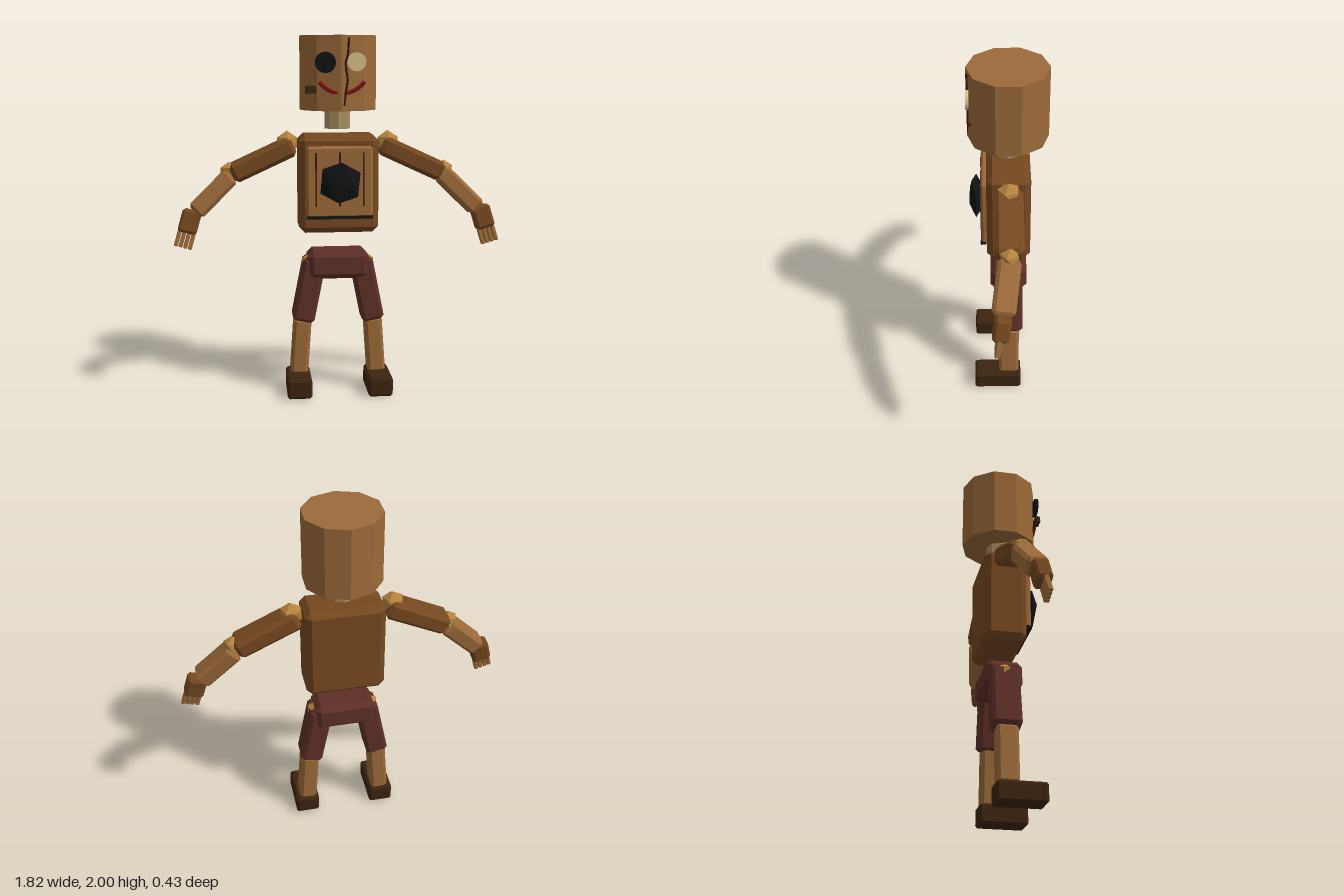
import * as THREE from 'three';
import { ConvexGeometry } from 'three/addons/geometries/ConvexGeometry.js';

const mat = (name, color) => {
  const m = new THREE.MeshStandardMaterial({ color, flatShading: true });
  m.name = name;
  return m;
};
const V = (x, y, z) => new THREE.Vector3(x, y, z);

// Box with every edge and corner cut at 45 degrees
function chamferBox(w, h, d, c) {
  const pts = [], a = w / 2, b = h / 2, e = d / 2;
  for (const x of [-1, 1]) for (const y of [-1, 1]) for (const z of [-1, 1]) {
    pts.push(V(x * a, y * (b - c), z * (e - c)));
    pts.push(V(x * (a - c), y * b, z * (e - c)));
    pts.push(V(x * (a - c), y * (b - c), z * e));
  }
  return new ConvexGeometry(pts);
}

export function createModel() {
  const wood = mat('light wood', 0x9c6a3a);
  const darkWood = mat('dark wood', 0x754820);
  const trousers = mat('maroon', 0x5e2f28);
  const shoe = mat('dark brown', 0x3c2410);
  const brass = mat('brass', 0xb5843c);
  const tan = mat('tan', 0xa89060);
  const black = mat('black', 0x111213);
  const cream = mat('cream', 0xd8c08c);
  const red = mat('red', 0x7d1216);
  const crackRed = mat('dark red', 0x40140e);

  const model = new THREE.Group();
  model.name = 'woodenPuppet';

  const add = (name, geo, m, x = 0, y = 0, z = 0, parent = model) => {
    const mesh = new THREE.Mesh(geo, m);
    mesh.name = name;
    mesh.position.set(x, y, z);
    parent.add(mesh);
    return mesh;
  };

  // Chamfered limb running from one point to another
  const limb = (name, from, to, w, d, c, m, parent) => {
    const dir = to.clone().sub(from);
    const mid = from.clone().add(to).multiplyScalar(0.5);
    const mesh = add(name, chamferBox(w, dir.length(), d, c), m, mid.x, mid.y, mid.z, parent);
    mesh.quaternion.setFromUnitVectors(V(0, -1, 0), dir.normalize());
    return mesh;
  };

  // Faceted ball joint with a point at the top
  const joint = (name, r, x, y, z, parent) => {
    const geo = new THREE.IcosahedronGeometry(r, 0);
    geo.rotateX(-Math.atan((1 + Math.sqrt(5)) / 2));
    return add(name, geo, brass, x, y, z, parent);
  };

  // Head and neck
  add('head', new THREE.CylinderGeometry(0.215, 0.215, 0.4, 10), wood, 0, 1.8, 0);
  add('neck', new THREE.CylinderGeometry(0.07, 0.07, 0.11, 8), tan, 0, 1.55, 0);

  // Face
  const eye = r => new THREE.CylinderGeometry(r, r, 0.016, 16).rotateX(Math.PI / 2);
  add('rightEye', eye(0.056), black, -0.083, 1.857, 0.206);
  add('leftEye', eye(0.05), cream, 0.083, 1.86, 0.208);
  const half = 0.93;
  add('mouth', new THREE.TorusGeometry(0.15, 0.011, 6, 12, half * 2)
    .rotateZ(-Math.PI / 2 - half), red, 0.005, 1.845, 0.2);
  add('cheekPeg', chamferBox(0.06, 0.042, 0.03, 0.005), shoe, -0.16, 1.715, 0.195);
  const crackPath = new THREE.CurvePath();
  const crack = [[0.042, 1.985], [0.037, 1.9], [0.022, 1.85], [0.036, 1.77], [0.016, 1.63]]
    .map(([x, y]) => V(x, y, 0.208));
  for (let i = 1; i < crack.length; i++) crackPath.add(new THREE.LineCurve3(crack[i - 1], crack[i]));
  add('faceCrack', new THREE.TubeGeometry(crackPath, 16, 0.006, 4), crackRed);

  // Torso and chest panel
  add('torso', chamferBox(0.44, 0.54, 0.236, 0.032), darkWood, 0, 1.195, 0);
  add('chestPanel', chamferBox(0.365, 0.39, 0.05, 0.012), wood, 0, 1.212, 0.123);
  add('panelBottomTrim', new THREE.BoxGeometry(0.365, 0.016, 0.03), black, 0, 1.018, 0.137);
  for (const x of [-0.13, 0, 0.13])
    add('panelGroove', new THREE.BoxGeometry(0.009, 0.295, 0.008), crackRed, x, 1.227, 0.148);
  const gem = new THREE.IcosahedronGeometry(0.128, 0);
  gem.rotateZ(Math.PI / 2 - 0.1);
  gem.scale(0.95, 1, 0.33);
  add('chestGem', gem, black, 0, 1.212, 0.175);

  // Pelvis
  add('pelvis', chamferBox(0.34, 0.155, 0.205, 0.03), trousers, 0, 0.737, 0);

  for (const s of [1, -1]) {
    // Leg
    const leg = new THREE.Group();
    leg.name = s > 0 ? 'leftLeg' : 'rightLeg';
    model.add(leg);
    joint('hipJoint', 0.055, s * 0.155, 0.74, 0, leg);
    limb('thigh', V(s * 0.13, 0.765, 0), V(s * 0.2, 0.41, 0), 0.125, 0.16, 0.018, trousers, leg);
    limb('shin', V(s * 0.2, 0.42, 0), V(s * 0.222, 0.1, 0), 0.1, 0.118, 0.016, wood, leg);
    add('foot', chamferBox(0.137, 0.11, 0.27, 0.012), shoe, s * 0.227, 0.055, 0.065, leg);

    // Arm
    const arm = new THREE.Group();
    arm.name = s > 0 ? 'leftArm' : 'rightArm';
    model.add(arm);
    joint('shoulderJoint', 0.066, s * 0.28, 1.418, 0, arm);
    joint('elbowJoint', 0.055, s * 0.6, 1.26, 0, arm);
    limb('upperArm', V(s * 0.245, 1.405, 0), V(s * 0.585, 1.248, 0), 0.11, 0.15, 0.022, darkWood, arm);
    limb('forearm', V(s * 0.59, 1.238, 0), V(s * 0.79, 1.042, 0.036), 0.102, 0.12, 0.018, wood, arm);

    // Hand with its fingers
    const hand = limb('hand', V(s * 0.802, 1.055, 0.034), V(s * 0.838, 0.93, 0.052),
      0.105, 0.085, 0.014, darkWood, arm);
    for (let i = 0; i < 4; i++)
      add('finger', chamferBox(0.022, 0.1, 0.028, 0.004), wood, (i - 1.5) * 0.026, -0.1, 0.004, hand);
  }
  return model;
}
